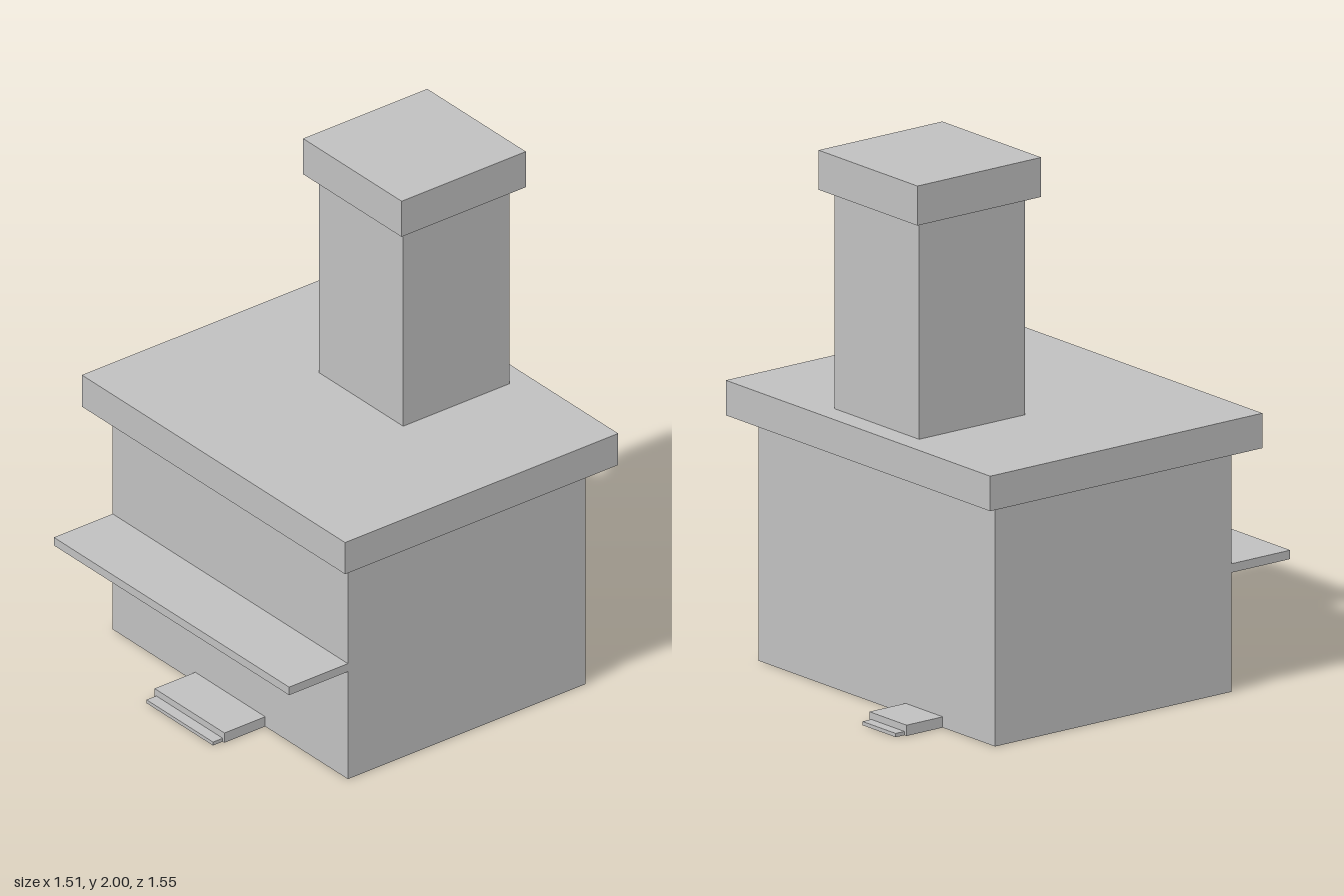
import * as THREE from 'three';

export function createModel() {
  const group = new THREE.Group();
  const stone = new THREE.MeshStandardMaterial({ color: 0xc0c0c0 });
  stone.name = 'plain grey';

  // Adds a box spanning the given x, y and z ranges
  const block = (name, [x0, x1], [y0, y1], [z0, z1]) => {
    const mesh = new THREE.Mesh(new THREE.BoxGeometry(x1 - x0, y1 - y0, z1 - z0), stone);
    mesh.position.set((x0 + x1) / 2, (y0 + y1) / 2, (z0 + z1) / 2);
    mesh.name = name;
    group.add(mesh);
  };

  // Main building with overhanging flat roof
  block('body', [-0.676, 0.672], [0, 0.91], [-0.57, 0.508]);
  block('roof', [-0.755, 0.753], [0.91, 1.04], [-0.655, 0.585]);

  // Tower set towards the back, with its cap
  block('tower', [-0.243, 0.238], [1.04, 1.853], [-0.57, -0.087]);
  block('towerCap', [-0.286, 0.278], [1.853, 2], [-0.612, -0.048]);

  // Canopy across the front wall
  block('frontCanopy', [-0.676, 0.672], [0.443, 0.476], [0.508, 0.775]);

  // Door steps at the front and back
  block('frontUpperStep', [-0.203, 0.198], [0, 0.04], [0.508, 0.693]);
  block('frontLowerStep', [-0.193, 0.188], [0, 0.014], [0.693, 0.737]);
  block('backUpperStep', [-0.378, -0.166], [0, 0.04], [-0.735, -0.57]);
  block('backLowerStep', [-0.366, -0.177], [0, 0.014], [-0.775, -0.735]);

  return group;
}
